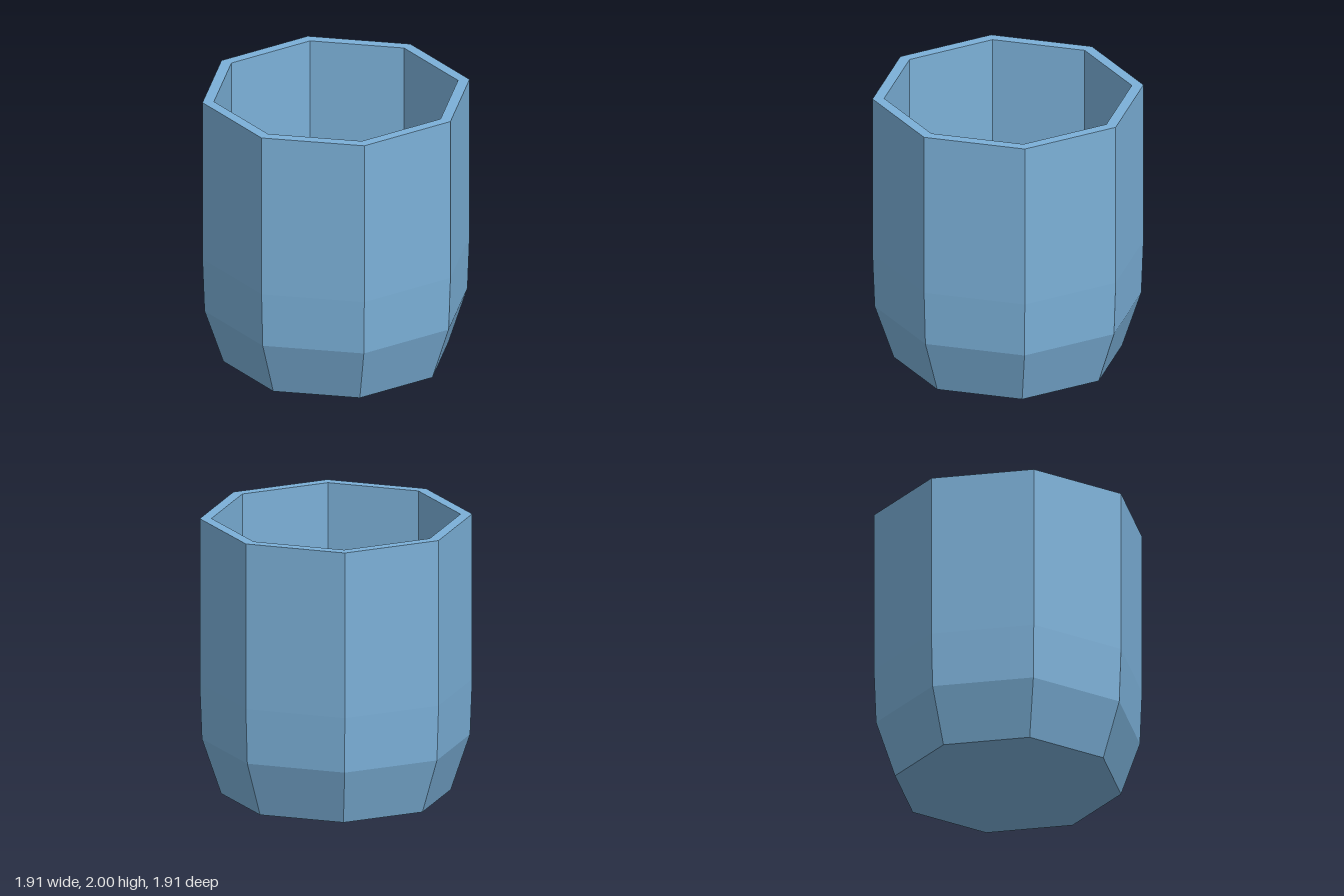
import * as THREE from 'three';

const SIDES = 8;

// Flat-shaded octagonal lathe from [radius, height] pairs
function facetedLathe(name, profile, material) {
  const points = profile.map(([r, y]) => new THREE.Vector2(r, y));
  const mesh = new THREE.Mesh(new THREE.LatheGeometry(points, SIDES), material);
  mesh.name = name;
  return mesh;
}

// Octagonal disc with a corner on +z, facing up or down
function disc(name, radius, y, up, material) {
  const geometry = new THREE.CircleGeometry(radius, SIDES);
  geometry.rotateX(up ? -Math.PI / 2 : Math.PI / 2);
  const mesh = new THREE.Mesh(geometry, material);
  mesh.position.y = y;
  mesh.name = name;
  return mesh;
}

export function createModel() {
  const group = new THREE.Group();
  group.name = 'cup';
  const blue = new THREE.MeshStandardMaterial({ color: 0x7bb0d8, flatShading: true });
  blue.name = 'soft blue';

  // Outer wall, tapering towards the foot
  group.add(facetedLathe('outerWall', [[0.805, 0], [0.94, 0.4], [0.955, 0.8], [0.955, 2]], blue));
  // Flat rim
  group.add(facetedLathe('rim', [[0.955, 2], [0.873, 2]], blue));
  // Inner wall follows the outer one
  group.add(facetedLathe('innerWall', [[0.873, 2], [0.873, 0.8], [0.86, 0.42], [0.735, 0.08]], blue));
  // Floor and underside
  group.add(disc('floor', 0.735, 0.08, true, blue));
  group.add(disc('underside', 0.805, 0, false, blue));
  return group;
}
